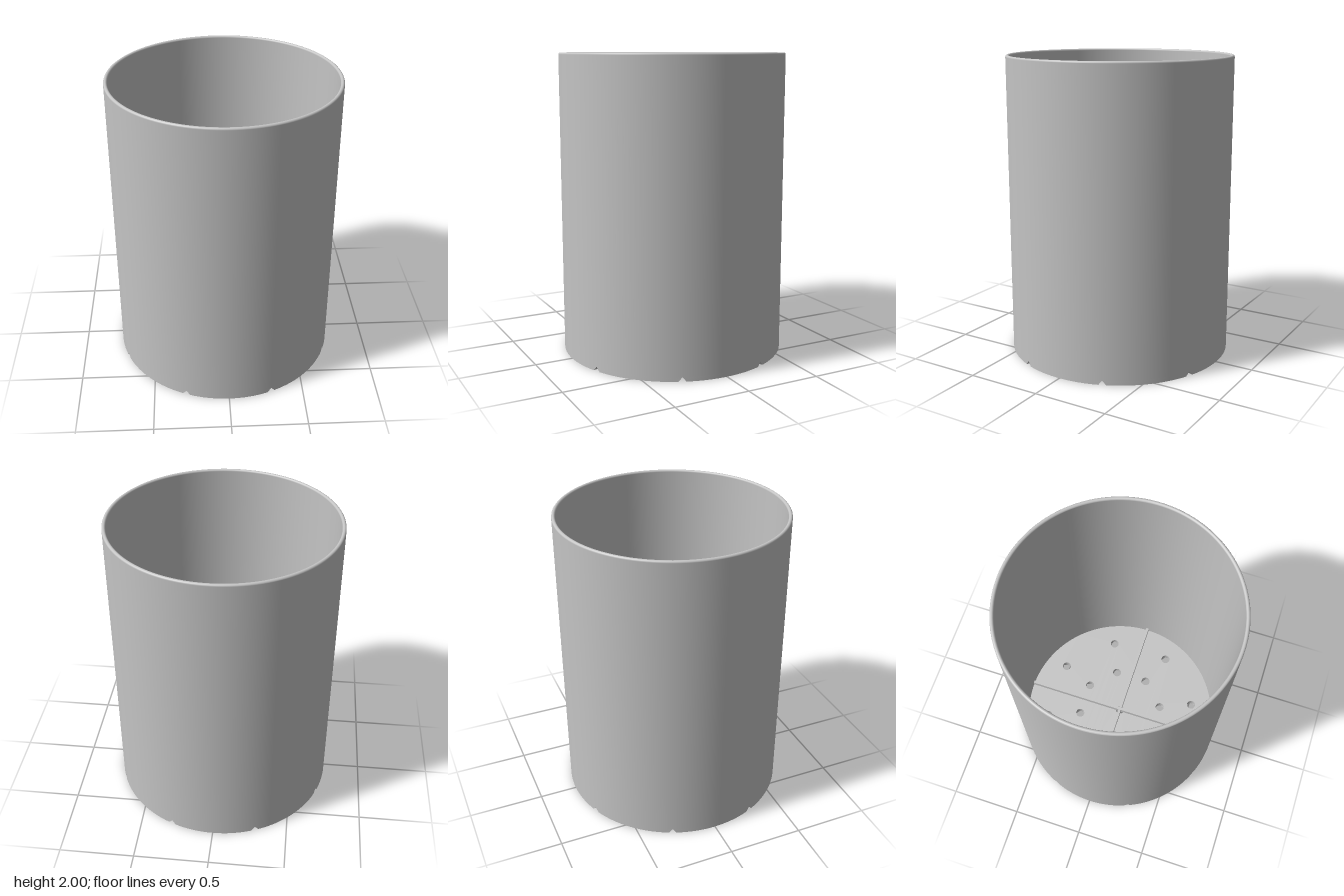
import * as THREE from 'three';
import { toCreasedNormals } from 'three/addons/utils/BufferGeometryUtils.js';

const R = 0.747, INNER = 0.722, HOLE = 0.032;
const GROOVE_W = 0.025, GROOVE_H = 0.03, FLOOR = 0.06;
const HOLE_RINGS = [0.314, 0.563];
const HALF = Math.PI / 8; // half the angle between two grooves

const polar = (r, a) => new THREE.Vector2(r * Math.cos(a), r * Math.sin(a));

// Outline of one foot between two grooves of half-width w, notched by the drain holes
function footOutline(w) {
  const half = [];
  const arc = (n, from, to, r, cx = 0) => {
    for (let i = 0; i <= n; i++) {
      const p = polar(r, from + (to - from) * i / n);
      p.x += cx;
      half.push(p);
    }
  };
  const s = w / Math.sin(HALF);
  arc(4, HALF, Math.asin(Math.min(w / HOLE, Math.sin(HALF))), Math.max(HOLE, s));
  const t = Math.asin(w / HOLE);
  for (const r of HOLE_RINGS) arc(10, Math.PI - t, t, HOLE, r);
  arc(8, Math.asin(w / R), HALF, R);
  // mirror across the middle of the foot
  const c = Math.cos(2 * HALF), d = Math.sin(2 * HALF);
  const other = half.slice(1, -1).reverse()
    .map(p => new THREE.Vector2(c * p.x + d * p.y, d * p.x - c * p.y));
  return half.concat(other);
}

function footGeometry() {
  const widths = [GROOVE_W, HOLE * Math.sin(HALF), 0];
  const loops = widths.map(w => footOutline(w).map(
    p => [p.x, GROOVE_H * (1 - w / GROOVE_W), -p.y]));
  const pos = [];
  const tri = (a, b, c) => pos.push(...a, ...b, ...c);
  for (let l = 0; l < loops.length - 1; l++) {
    const lo = loops[l], hi = loops[l + 1], n = lo.length;
    for (let i = 0; i < n; i++) {
      const j = (i + 1) % n;
      tri(lo[i], lo[j], hi[j]);
      tri(lo[i], hi[j], hi[i]);
    }
  }
  // underside
  for (const [a, b, c] of THREE.ShapeUtils.triangulateShape(footOutline(GROOVE_W), [])) {
    tri(loops[0][a], loops[0][c], loops[0][b]);
  }
  const g = new THREE.BufferGeometry();
  g.setAttribute('position', new THREE.Float32BufferAttribute(pos, 3));
  return toCreasedNormals(g, 0.45);
}

// Floor disc pierced by the drain holes
function floorGeometry() {
  const shape = new THREE.Shape().absarc(0, 0, INNER + 0.005, 0, Math.PI * 2);
  const drill = (x, y) => shape.holes.push(new THREE.Path().absarc(x, y, HOLE, 0, Math.PI * 2, true));
  drill(0, 0);
  for (const r of HOLE_RINGS) {
    for (let k = 0; k < 8; k++) {
      const p = polar(r, HALF + k * 2 * HALF);
      drill(p.x, p.y);
    }
  }
  const g = new THREE.ExtrudeGeometry(shape, {
    depth: FLOOR - GROOVE_H, bevelEnabled: false, curveSegments: 24 });
  g.rotateX(-Math.PI / 2).translate(0, GROOVE_H, 0);
  return toCreasedNormals(g, 0.5);
}

export function createModel() {
  const model = new THREE.Group();
  model.name = 'drainagePot';
  const grey = new THREE.MeshStandardMaterial({ color: 0xc4c4c4 });
  grey.name = 'grey';
  const add = (name, geometry) => {
    const mesh = new THREE.Mesh(geometry, grey);
    mesh.name = name;
    model.add(mesh);
    return mesh;
  };

  // Wall with a rounded rim and a slightly tapered inside
  const rim = (R - INNER) / 2;
  const profile = [new THREE.Vector2(R, GROOVE_H)];
  for (let i = 0; i <= 8; i++) {
    const p = polar(rim, Math.PI * i / 8);
    profile.push(new THREE.Vector2(INNER + rim + p.x, 2 - rim + p.y));
  }
  profile.push(new THREE.Vector2(INNER - 0.005, FLOOR - 0.005));
  add('wall', new THREE.LatheGeometry(profile, 128));

  add('floor', floorGeometry());

  // Eight feet, with V-shaped drainage grooves left between them
  const foot = footGeometry();
  for (let k = 0; k < 8; k++) add('foot', foot).rotation.y = HALF + k * 2 * HALF;

  // Crossed ribs on the floor
  const ribGeometry = new THREE.BoxGeometry(1.436, 0.04, 0.02);
  for (let k = 0; k < 2; k++) {
    const rib = add('floorRib', ribGeometry);
    rib.position.y = FLOOR + 0.02;
    rib.rotation.y = k * Math.PI / 2;
  }
  return model;
}
